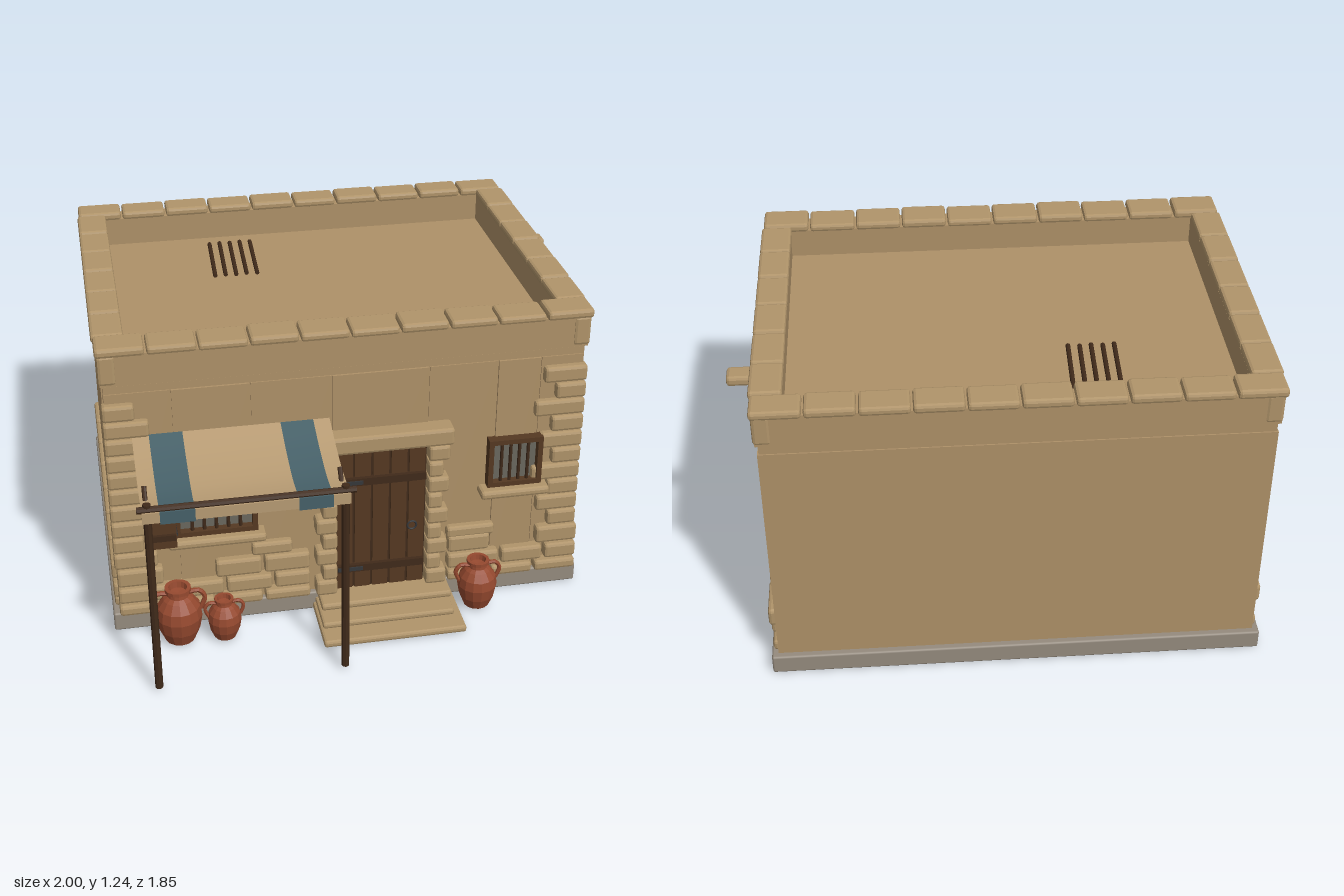
import * as THREE from 'three';
import { RoundedBoxGeometry } from 'three/addons/geometries/RoundedBoxGeometry.js';

const paint = (name, color, extra = {}) => {
  const m = new THREE.MeshStandardMaterial({ color, ...extra });
  m.name = name;
  return m;
};

export function createModel() {
  const model = new THREE.Group();
  model.name = 'house';
  const plaster = paint('plaster', 0xae9168);
  const stone = paint('stone', 0xb0946a, { flatShading: true });
  const footing = paint('footing', 0x958b7e);
  const darkWood = paint('darkWood', 0x402a1a, { flatShading: true });
  const plankWood = paint('plankWood', 0x553922);
  const pane = paint('pane', 0x6a675e);
  const iron = paint('iron', 0x35373a);
  const clay = paint('clay', 0x95492f, { flatShading: true });
  const cloth = paint('cloth', 0xb79b73, { side: THREE.DoubleSide });
  const blueCloth = paint('blueCloth', 0x466068, { side: THREE.DoubleSide });

  const add = (name, geometry, material, parent = model) => {
    const mesh = new THREE.Mesh(geometry, material);
    mesh.name = name;
    parent.add(mesh);
    return mesh;
  };
  // Boxes given by their bounds; bevel > 0 rounds the edges
  const box = (name, mat, x0, x1, y0, y1, z0, z1, bevel = 0, parent = model) => {
    const w = x1 - x0, h = y1 - y0, d = z1 - z0;
    const geo = bevel
      ? new RoundedBoxGeometry(w, h, d, 1, Math.min(bevel, w / 3, h / 3, d / 3))
      : new THREE.BoxGeometry(w, h, d);
    const mesh = add(name, geo, mat, parent);
    mesh.position.set((x0 + x1) / 2, (y0 + y1) / 2, (z0 + z1) / 2);
    return mesh;
  };
  const block = (name, ...b) => box(name, stone, ...b, 0.012);
  // Round pole between two points
  const pole = (name, a, b, r, mat = darkWood, parent = model) => {
    const p = new THREE.Vector3(...a), q = new THREE.Vector3(...b);
    const mesh = add(name, new THREE.CylinderGeometry(r, r, p.distanceTo(q), 8), mat, parent);
    mesh.position.copy(p).add(q).multiplyScalar(0.5);
    mesh.quaternion.setFromUnitVectors(new THREE.Vector3(0, 1, 0), q.sub(p).normalize());
    return mesh;
  };

  // Foundation, walls and roof
  box('foundation', footing, -0.995, 0.9, 0, 0.08, -0.925, 0.505, 0.008);
  box('walls', plaster, -0.965, 0.87, 0.08, 1.075, -0.895, 0.478);
  box('roof', plaster, -0.9, 0.8, 1.07, 1.09, -0.83, 0.4);
  box('sidePanels', plaster, -0.97, 0.875, 0.08, 1.04, -0.9, 0.37);
  const seams = [-0.965, -0.72, -0.425, -0.115, 0.26, 0.53, 0.7, 0.87];
  for (let i = 0; i < seams.length - 1; i++)
    box('frontPanel', plaster, seams[i] + 0.002, seams[i + 1] - 0.002, 0.08, 1.045, 0.47, 0.483 + (i % 2) * 0.004);

  // Parapet with corner blocks and capstones
  box('parapetFront', plaster, -0.975, 0.88, 1.08, 1.207, 0.385, 0.487);
  box('parapetBack', plaster, -0.975, 0.88, 1.08, 1.207, -0.905, -0.815);
  box('parapetRight', plaster, -0.975, -0.875, 1.08, 1.207, -0.815, 0.385);
  box('parapetLeft', plaster, 0.785, 0.88, 1.08, 1.207, -0.815, 0.385);
  for (const x of [-0.98, 0.82]) for (const z of [-0.908, 0.412])
    block('parapetCorner', x, x + 0.067, 1.085, 1.207, z, z + 0.08);
  for (let i = 0; i < 10; i++) {
    const x = -0.99 + i * 0.1885;
    block('capstone', x + 0.004, x + 0.185, 1.203, 1.24 - (i % 3) * 0.003, 0.375, 0.505);
    block('capstone', x + 0.004, x + 0.185, 1.203, 1.24 - (i % 2) * 0.003, -0.925, -0.808);
  }
  for (let i = 0; i < 6; i++) {
    const z = -0.808 + i * 0.197;
    for (const x of [-0.992, 0.778])
      block('capstone', x, x + 0.12, 1.203, 1.238 - (i % 2) * 0.003, z + 0.003, z + 0.194);
  }
  block('drainSpout', 0.86, 1.0, 1.08, 1.12, -0.535, -0.455);
  for (let i = 0; i < 5; i++) {
    const x = -0.45 + i * 0.044;
    pole('roofSlat', [x, 1.1, -0.38 - (i % 2) * 0.005], [x + 0.014, 1.1, -0.72 - (i % 2) * 0.004], 0.009);
  }

  // Corner stones on the front, alternating long and short
  for (let i = 0; i < 10; i++) {
    const y = 0.29 + i * 0.0725;
    const l = [0.17, 0.12, 0.19, 0.13][i % 4], r = [0.12, 0.17, 0.13, 0.2][i % 4];
    block('cornerStone', -0.977, -0.977 + l, y, y + 0.066, 0.46, 0.515);
    block('cornerStone', 0.88 - r, 0.88, y, y + 0.066, 0.46, 0.515);
  }

  // Rough base courses on both sides and on the front
  const courses = [[0.08, 0.125, 0], [0.135, 0.2, 0.04], [0.21, 0.285, 0]];
  courses.forEach(([y0, y1, shift], row) => {
    for (let i = 0; i < 7; i++) {
      const z = -0.885 + i * 0.193 + shift;
      const z1 = Math.min(z + 0.18, 0.475);
      block('baseStone', 0.84, 0.893 + row * 0.004, y0, y1, z, z1);
      block('baseStone', -0.985 - row * 0.002, -0.93, y0, y1, z, z1);
    }
    for (const [a, b] of [[-0.97, -0.2], [0.35, 0.9]]) {
      const n = a < 0 ? 4 : 3, w = (b - a) / n;
      for (let i = 0; i < n; i++) {
        if (row === 2 && i === (a < 0 ? 1 : n - 2)) continue;
        const x = a + i * w + (i ? shift : 0);
        block('baseStone', x, Math.min(a + (i + 1) * w + shift, b) - 0.012, y0, y1, 0.46, 0.53 - row * 0.004);
      }
    }
  });
  block('looseStone', -0.44, -0.28, 0.29, 0.345, 0.46, 0.515);
  block('looseStone', 0.345, 0.54, 0.275, 0.325, 0.46, 0.515);

  // Doorway: jamb stones, lintel, steps
  for (let i = 0; i < 9; i++) {
    const y = 0.085 + i * 0.072, w = i % 2 ? 0.06 : 0.085;
    block('jambStone', -0.105 - w, -0.105, y, y + 0.067, 0.46, 0.545);
    block('jambStone', 0.255, 0.255 + w, y, y + 0.067, 0.46, 0.545);
  }
  block('lintel', -0.195, 0.35, 0.737, 0.81, 0.46, 0.562);
  block('bottomStep', -0.2, 0.37, 0.003, 0.032, 0.49, 0.775);
  block('middleStep', -0.19, 0.34, 0.03, 0.056, 0.49, 0.69);
  block('topStep', -0.18, 0.35, 0.054, 0.083, 0.47, 0.605);

  // Door
  const door = new THREE.Group();
  door.name = 'door';
  model.add(door);
  box('doorBacking', darkWood, -0.105, 0.255, 0.083, 0.715, 0.47, 0.495, 0, door);
  box('transom', pane, -0.105, 0.255, 0.712, 0.74, 0.47, 0.5, 0, door);
  for (let i = 0; i < 5; i++)
    box('doorPlank', plankWood, -0.102 + i * 0.072, -0.039 + i * 0.072, 0.086, 0.712, 0.49, 0.506, 0, door);
  for (const y of [0.17, 0.572]) {
    box('doorBrace', darkWood, -0.104, 0.25, y, y + 0.032, 0.5, 0.522, 0, door);
    box('hinge', iron, -0.1, 0.0, y + 0.008, y + 0.024, 0.52, 0.527, 0, door);
  }
  add('doorRing', new THREE.TorusGeometry(0.018, 0.004, 6, 14), iron, door).position.set(0.2, 0.36, 0.512);

  // Barred windows with sills
  const barredWindow = (x0, x1, y0, y1, bars) => {
    const g = new THREE.Group(), f = 0.02;
    g.name = 'window';
    model.add(g);
    box('windowPane', pane, x0 + f, x1 - f, y0 + f, y1 - f, 0.47, 0.494, 0, g);
    box('frameTop', plankWood, x0, x1, y1 - f, y1, 0.47, 0.525, 0, g);
    box('frameBottom', plankWood, x0, x1, y0, y0 + f, 0.47, 0.525, 0, g);
    for (const x of [x0, x1 - f]) box('frameSide', plankWood, x, x + f, y0 + f, y1 - f, 0.47, 0.525, 0, g);
    for (let i = 1; i <= bars; i++) {
      const x = x0 + f + (x1 - x0 - 2 * f) * i / (bars + 1);
      pole('windowBar', [x, y0 + f, 0.508], [x, y1 - f, 0.508], 0.007, darkWood, g);
    }
    block('windowSill', x0 - 0.03, x1 + 0.03, y0 - 0.042, y0 - 0.006, 0.46, 0.552);
  };
  barredWindow(-0.735, -0.415, 0.42, 0.71, 5);
  barredWindow(0.5, 0.718, 0.505, 0.715, 4);

  // Open shutter
  box('shutter', plankWood, -0.84, -0.735, 0.425, 0.685, 0.565, 0.595);
  for (const y of [0.465, 0.625]) box('shutterBatten', darkWood, -0.837, -0.738, y, y + 0.025, 0.555, 0.608);
  for (const y of [0.48, 0.637]) pole('shutterHinge', [-0.738, y, 0.5], [-0.738, y, 0.59], 0.008, iron);

  // Sagging awning, cloth strips with a hanging front edge
  const sag = new THREE.CatmullRomCurve3([[0.87, 0.49], [0.825, 0.62], [0.793, 0.77], [0.794, 0.88], [0.8, 0.918]]
    .map(([y, z]) => new THREE.Vector3(0, y, z)));
  const edges = [-0.873, -0.81, -0.685, -0.315, -0.19, -0.127];
  for (let i = 0; i < 5; i++) {
    const w = edges[i + 1] - edges[i], mid = (edges[i] + edges[i + 1]) / 2;
    const mat = i % 2 ? blueCloth : cloth;
    const geo = new THREE.PlaneGeometry(w, 1, 1, 12), pos = geo.attributes.position;
    for (let k = 0; k < pos.count; k++) {
      const p = sag.getPoint(0.5 - pos.getY(k));
      pos.setXYZ(k, pos.getX(k) + mid, p.y, p.z);
    }
    geo.computeVertexNormals();
    add('awningStrip', geo, mat);
    box('awningValance', mat, edges[i], edges[i + 1], i % 2 ? 0.75 : 0.757, 0.8, 0.918, 0.923);
  }
  pole('awningBar', [-0.89, 0.805, 0.905], [-0.105, 0.805, 0.905], 0.013);
  for (const x of [-0.853, -0.143]) {
    pole('awningPost', [x, 0.015, 0.9], [x, 0.825, 0.9], 0.015);
    pole('awningBrace', [x, 0.69, 0.89], [x, 0.83, 0.785], 0.009);
  }

  // Clay jars: unit profile scaled to height, with two handles
  const profile = [[0, 0], [0.2, 0], [0.24, 0.03], [0.33, 0.25], [0.37, 0.48], [0.34, 0.66], [0.24, 0.8],
    [0.17, 0.85], [0.16, 0.91], [0.21, 0.94], [0.21, 1], [0.15, 1], [0.13, 0.9], [0, 0.88]];
  const jar = (x, z, h) => {
    const g = new THREE.Group();
    g.name = 'jar';
    g.position.set(x, 0.005, z);
    g.scale.setScalar(h);
    model.add(g);
    add('jarBody', new THREE.LatheGeometry(profile.map(p => new THREE.Vector2(...p)), 14), clay, g);
    for (const s of [-1, 1]) {
      const path = new THREE.CatmullRomCurve3([[0.16, 0.89], [0.33, 0.9], [0.42, 0.77], [0.35, 0.56]]
        .map(([px, py]) => new THREE.Vector3(s * px, py, 0)));
      add('jarHandle', new THREE.TubeGeometry(path, 10, 0.04, 6), clay, g);
    }
  };
  jar(-0.745, 0.605, 0.245);
  jar(-0.57, 0.62, 0.18);
  jar(0.455, 0.595, 0.215);

  return model;
}
